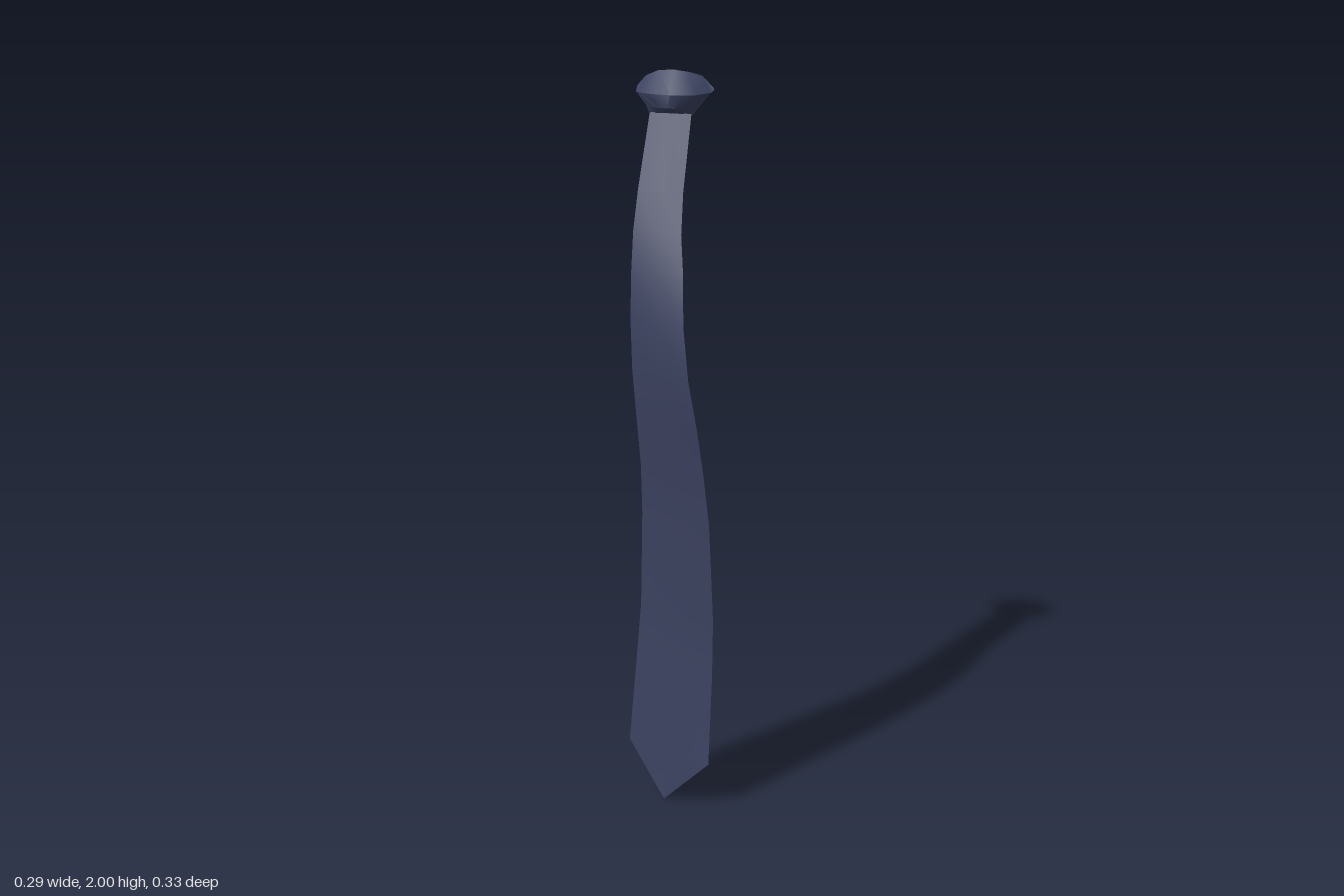
import * as THREE from 'three';
import { toCreasedNormals } from 'three/addons/utils/BufferGeometryUtils.js';

// Skin rows of points (listed top to bottom, each running left to right)
function skin(rows, capEnds = false) {
  const n = rows[0].length;
  const index = [];
  for (let r = 0; r < rows.length - 1; r++) {
    for (let c = 0; c < n - 1; c++) {
      const a = r * n + c, b = a + n;
      index.push(a, b, b + 1, a, b + 1, a + 1);
    }
  }
  if (capEnds) {
    for (let r = 1; r < rows.length - 2; r++) {
      index.push(0, (r + 1) * n, r * n);
      index.push(n - 1, r * n + n - 1, (r + 1) * n + n - 1);
    }
  }
  const geometry = new THREE.BufferGeometry();
  geometry.setAttribute('position', new THREE.Float32BufferAttribute(rows.flat(2), 3));
  geometry.setIndex(index);
  geometry.computeVertexNormals();
  return geometry;
}

export function createModel() {
  const cloth = new THREE.MeshStandardMaterial({ color: 0x3c4260, side: THREE.DoubleSide });
  cloth.name = 'navy cloth';
  const group = new THREE.Group();
  group.name = 'necktie';

  // Blade: y, then x and z of its two edges; the last entry is the point
  const sections = [
    [1.89, -0.1, -0.09, 0.015, -0.085],
    [1.7, -0.105, 0.002, 0.02, 0.008],
    [1.6, -0.105, 0.045, 0.03, 0.06],
    [1.5, -0.1, 0.08, 0.05, 0.11],
    [1.38, -0.095, 0.105, 0.062, 0.15],
    [1.24, -0.09, 0.108, 0.08, 0.166],
    [1.1, -0.08, 0.103, 0.1, 0.15],
    [0.97, -0.075, 0.085, 0.115, 0.138],
    [0.83, -0.075, 0.075, 0.13, 0.135],
    [0.56, -0.083, 0.065, 0.142, 0.134],
    [0.4, -0.095, 0.07, 0.142, 0.14],
    [0.145, -0.115, 0.077, 0.14, 0.166],
    [0.003, 0.003, 0.135, 0.003, 0.135],
  ];
  const bladeRows = sections.map(([y, xl, zl, xr, zr], i) => {
    const bulge = i < sections.length - 1 ? 0.005 : 0;
    return [[xl, y, zl], [(xl + xr) / 2, y, (zl + zr) / 2 + bulge], [xr, y, zr]];
  });
  const blade = new THREE.Mesh(skin(bladeRows), cloth);
  blade.name = 'blade';
  group.add(blade);

  // Knot: rows wrap from the back rim over the top, belly and underside
  const backRim = [
    [-0.147, 1.952, -0.132], [-0.115, 1.97, -0.155], [-0.083, 1.985, -0.168], [-0.05, 1.985, -0.16],
    [0, 1.985, -0.16], [0.022, 1.98, -0.16], [0.065, 1.952, -0.124],
  ];
  const topRidge = [
    [-0.145, 1.948, -0.122], [-0.12, 1.98, -0.12], [-0.085, 1.995, -0.118], [-0.04, 2, -0.105],
    [0, 1.995, -0.108], [0.04, 1.977, -0.122], [0.065, 1.948, -0.12],
  ];
  const belly = [
    [-0.143, 1.94, -0.105], [-0.125, 1.94, -0.082], [-0.09, 1.94, -0.065], [-0.035, 1.94, -0.055],
    [0, 1.94, -0.059], [0.03, 1.94, -0.075], [0.061, 1.943, -0.114],
  ];
  const lowerFront = [-0.085, -0.07, -0.063, -0.058, -0.061, -0.07, -0.085]
    .map((z, i) => [-0.106 + i * 0.021, 1.905, z]);
  const underside = lowerFront.map((p, i) => [-0.1 + i * 0.0192, 1.884, -0.09]);
  const knotShape = skin([backRim, topRidge, belly, lowerFront, underside, backRim], true);
  const knot = new THREE.Mesh(toCreasedNormals(knotShape, 0.8), cloth);
  knot.name = 'knot';
  group.add(knot);

  return group;
}
